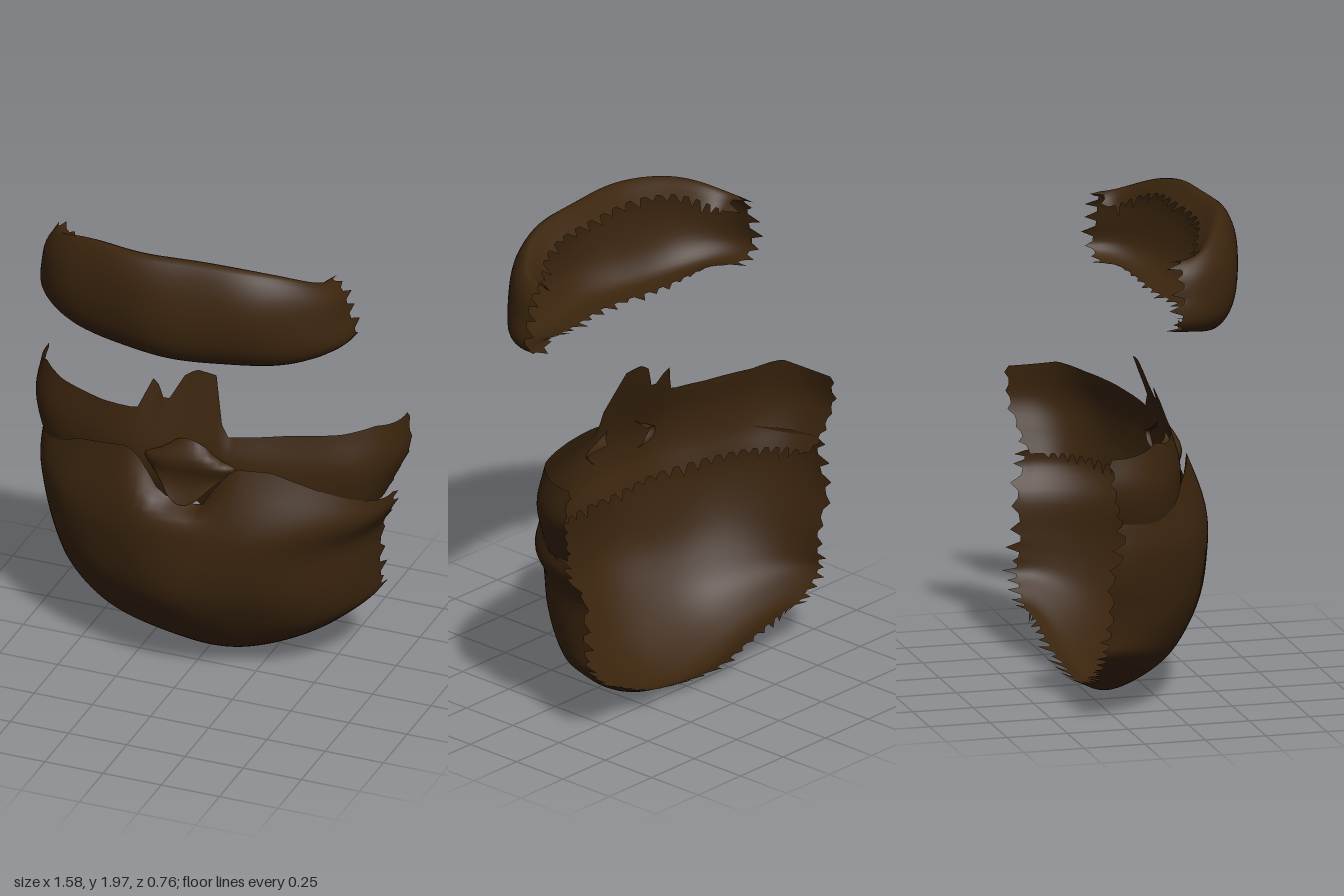
import * as THREE from 'three';

const hair = new THREE.MeshStandardMaterial({ color: 0x3b250e, side: THREE.DoubleSide });
hair.name = 'dark brown hair';

// Small seeded random source for the ragged edges
function seeded(seed) {
  return () => {
    seed = (seed * 16807) % 2147483647;
    return seed / 2147483647;
  };
}

// Piecewise linear outline: y for a given x
function outline(points, x) {
  if (x <= points[0][0]) return points[0][1];
  for (let i = 1; i < points.length; i++) {
    const [x0, y0] = points[i - 1], [x1, y1] = points[i];
    if (x <= x1) return y0 + (y1 - y0) * (x - x0) / (x1 - x0);
  }
  return points[points.length - 1][1];
}

// Curved sheet open at the back. Each row, from top to bottom, is
// [centre y, end y, centre z, end z, right width, left width].
function sheet(name, rows, { cols = 60, steps = 28, rise = 2, round = 1, top = null, jag = {}, seed = 7, wave = 0.006 }) {
  const rand = seeded(seed);
  const grid = [];
  for (let c = 0; c <= cols; c++) {
    const t = (c / cols * 2 - 1) * Math.PI / 2;
    const s = Math.sin(t), k = Math.pow(Math.max(Math.cos(t), 0), round);
    const pts = rows.map(([yc, ye, zc, ze, wr, wl], r) => {
      const x = s * (s < 0 ? wr : wl);
      let y = yc + (ye - yc) * Math.pow(Math.abs(s), rise);
      let z = ze + (zc - ze) * k;
      if (r === 0 && top) {
        y = outline(top, x);
        z -= Math.max(0, y - 1.16) * 0.4; // tall tufts lean back
      }
      return new THREE.Vector3(x, y, z);
    });
    const curve = new THREE.CatmullRomCurve3(pts);
    const column = [];
    for (let r = 0; r <= steps; r++) {
      const p = curve.getPoint(r / steps);
      // soft uneven swelling
      p.z += wave * k * (Math.sin(p.x * 13 + p.y * 5) + Math.sin(p.x * 7 - p.y * 11));
      column.push(p);
    }
    grid.push(column);
  }
  // Pull single edge points outward into ragged teeth
  const pull = (p, inner, size) =>
    p.addScaledVector(p.clone().sub(inner).normalize(), size * (0.35 + 0.65 * rand()));
  for (let c = 2; c < cols - 1; c += 3) {
    if (jag.top) pull(grid[c][0], grid[c][2], jag.top);
    if (jag.bottom) pull(grid[c][steps], grid[c][steps - 2], jag.bottom);
  }
  if (jag.ends) {
    for (let r = 1; r < steps; r += 3) {
      pull(grid[0][r], grid[3][r], jag.ends);
      pull(grid[cols][r], grid[cols - 3][r], jag.ends);
    }
  }
  const pos = [], index = [], n = steps + 1;
  grid.forEach(col => col.forEach(p => pos.push(p.x, p.y, p.z)));
  for (let c = 0; c < cols; c++) {
    for (let r = 0; r < steps; r++) {
      const a = c * n + r, b = a + 1, d = a + n, e = d + 1;
      index.push(a, b, d, b, e, d);
    }
  }
  const geo = new THREE.BufferGeometry();
  geo.setAttribute('position', new THREE.Float32BufferAttribute(pos, 3));
  geo.setIndex(index);
  geo.computeVertexNormals();
  const mesh = new THREE.Mesh(geo, hair);
  mesh.name = name;
  return mesh;
}

export function createModel() {
  const model = new THREE.Group();
  model.name = 'hairPieces';

  // Upper fringe: a C-shaped section bent around the forehead
  model.add(sheet('upperFringe', [
    [1.94, 1.83, 0.20, 0.02, 0.52, 0.52],
    [1.99, 1.88, 0.29, 0.01, 0.58, 0.58],
    [1.91, 1.83, 0.35, 0.01, 0.63, 0.63],
    [1.76, 1.74, 0.378, 0.01, 0.65, 0.655],
    [1.62, 1.64, 0.35, 0.0, 0.655, 0.675],
    [1.54, 1.59, 0.28, 0.01, 0.60, 0.61],
    [1.53, 1.60, 0.18, 0.02, 0.50, 0.50],
  ], { rise: 4, jag: { top: 0.06, bottom: 0.06, ends: 0.06 }, seed: 11 }));

  // Lower shell: rounded front, curling under to a ragged back rim
  model.add(sheet('lowerShell', [
    [0.83, 0.85, 0.15, -0.26, 0.75, 0.73],
    [0.76, 0.74, 0.235, -0.27, 0.76, 0.73],
    [0.62, 0.62, 0.255, -0.31, 0.755, 0.67],
    [0.42, 0.48, 0.23, -0.30, 0.72, 0.66],
    [0.27, 0.38, 0.155, -0.31, 0.705, 0.66],
    [0.15, 0.32, 0.06, -0.32, 0.70, 0.655],
    [0.06, 0.27, -0.06, -0.32, 0.66, 0.61],
    [0.015, 0.22, -0.18, -0.32, 0.60, 0.55],
    [0.05, 0.20, -0.27, -0.32, 0.55, 0.50],
  ], {
    steps: 36, jag: { bottom: 0.09, ends: 0.06 }, seed: 23,
    top: [[-0.75, 0.86], [-0.6, 0.88], [-0.5, 0.94], [-0.25, 1.01], [-0.18, 0.96], [-0.1, 0.83],
      [0.07, 0.80], [0.13, 0.9], [0.21, 1.0], [0.35, 0.99], [0.6, 0.87], [0.73, 0.8]],
  }));

  // Wide band above the shell, with two pointed tufts in the middle
  model.add(sheet('tuftedBand', [
    [1.14, 1.14, 0.07, -0.32, 0.77, 0.77],
    [1.0, 1.0, 0.11, -0.31, 0.79, 0.785],
    [0.88, 0.88, 0.11, -0.28, 0.76, 0.74],
    [0.78, 0.79, 0.08, -0.25, 0.72, 0.70],
  ], {
    cols: 90, steps: 16, round: 0.8, jag: { bottom: 0.05, ends: 0.025 }, seed: 5,
    top: [[-0.77, 1.13], [-0.7, 1.17], [-0.6, 1.14], [-0.4, 1.13], [-0.24, 1.14], [-0.18, 1.28], [-0.12, 1.18],
      [-0.05, 1.31], [0, 1.335], [0.08, 1.33], [0.15, 1.1], [0.4, 1.13], [0.6, 1.14], [0.71, 1.16], [0.77, 1.14]],
  }));

  // Small folded lock filling the dip between the two front lobes
  model.add(sheet('centreFold', [
    [1.08, 1.01, 0.11, 0.06, 0.10, 0.12],
    [1.0, 0.98, 0.16, 0.09, 0.19, 0.21],
    [0.91, 0.94, 0.15, 0.09, 0.17, 0.18],
    [0.81, 0.90, 0.19, 0.12, 0.10, 0.11],
  ], { cols: 16, steps: 10, wave: 0.008 }));

  return model;
}
